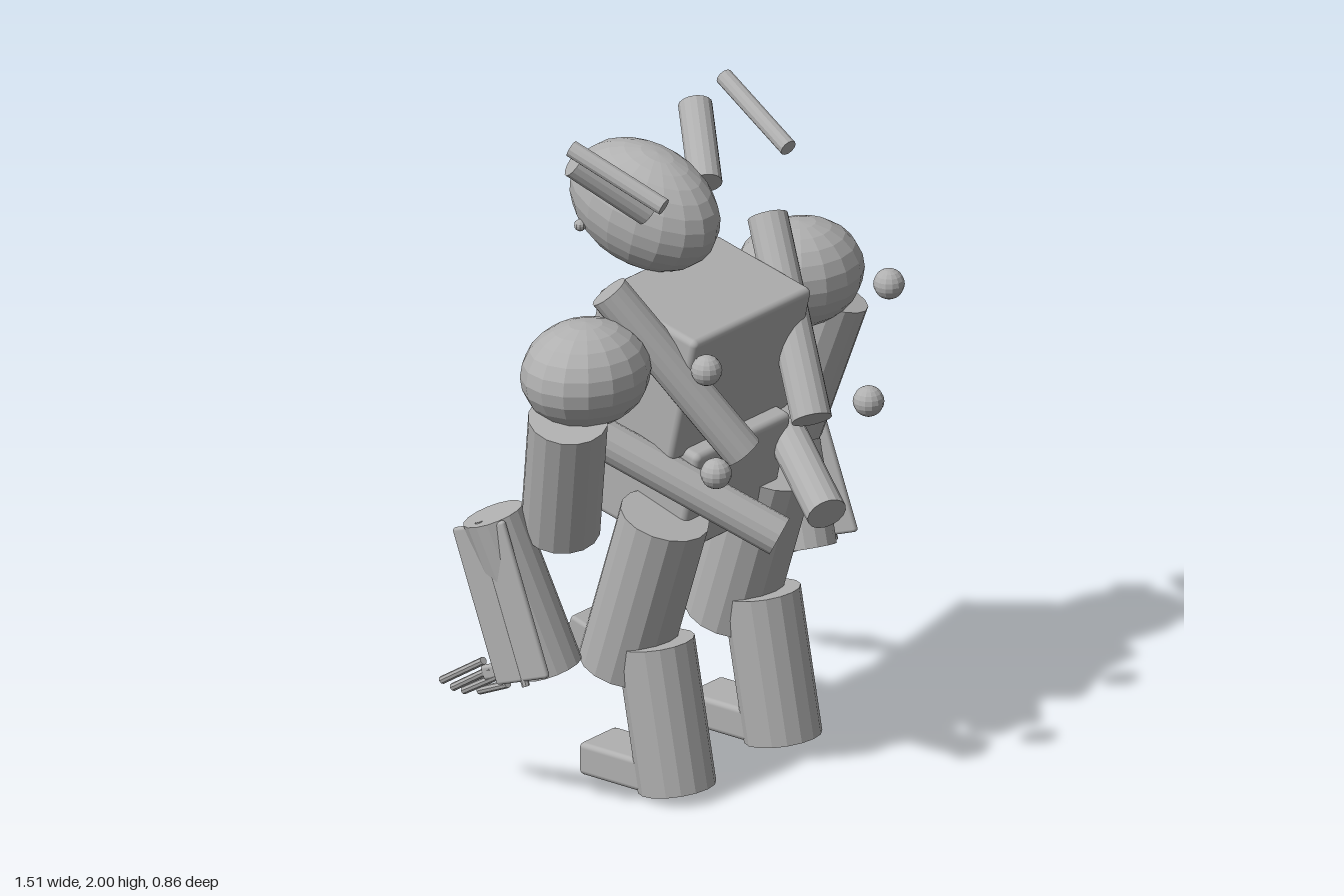
import * as THREE from 'three';
import { RoundedBoxGeometry } from 'three/addons/geometries/RoundedBoxGeometry.js';

export function createModel() {
  const model = new THREE.Group();
  const grey = new THREE.MeshStandardMaterial({ color: 0xb0b0b0 });
  const V = (a) => new THREE.Vector3(...a);

  // Facetted look: every face gets its own normal
  const faceted = (geometry) => {
    const g = geometry.toNonIndexed();
    g.computeVertexNormals();
    return g;
  };

  function add(name, geometry, parent = model) {
    const mesh = new THREE.Mesh(geometry, grey);
    mesh.name = name;
    parent.add(mesh);
    return mesh;
  }

  // Cylinder running between two points
  function rod(name, from, to, radius, sides = 16) {
    const a = V(from), b = V(to), dir = b.clone().sub(a);
    const mesh = add(name, faceted(new THREE.CylinderGeometry(radius, radius, dir.length(), sides)));
    mesh.position.copy(a).add(b).multiplyScalar(0.5);
    mesh.quaternion.setFromUnitVectors(new THREE.Vector3(0, 1, 0), dir.normalize());
    return mesh;
  }

  function ball(name, at, radii, w = 16, h = 12, parent = model) {
    const g = new THREE.SphereGeometry(1, w, h);
    g.scale(...radii);
    const mesh = add(name, faceted(g), parent);
    mesh.position.set(...at);
    return mesh;
  }

  function box(name, at, size, tilt = 0, radius = 0.02, parent = model) {
    const mesh = add(name, new RoundedBoxGeometry(...size, 2, radius), parent);
    mesh.position.set(...at);
    mesh.rotation.x = tilt;
    return mesh;
  }

  // Head, looking towards -z with its face raised
  ball('head', [0, 1.685, -0.18], [0.168, 0.18, 0.25], 18, 14).rotation.x = 0.26;
  ball('brow', [0, 1.785, -0.375], [0.05, 0.012, 0.022], 12, 8).rotation.x = -0.6;

  // Leaning torso with a round core on the chest
  box('chest', [0, 1.28, 0], [0.55, 0.41, 0.37], 0.227);
  box('abdomen', [0, 0.93, -0.01], [0.44, 0.34, 0.34], 0.227);
  ball('chestCore', [0, 1.285, -0.17], [0.095, 0.095, 0.095]);

  for (const s of [1, -1]) {
    const P = (x, y, z) => [s * x, y, z];

    // Head details
    ball('eye', P(0.126, 1.625, -0.32), [0.018, 0.018, 0.018], 10, 8);
    rod('horn', P(0.13, 1.74, -0.06), P(0.28, 1.9, -0.217), 0.05);
    rod('hornTip', P(0.29, 1.845, 0.12), P(0.355, 1.975, -0.17), 0.026, 12);

    // Slanted chest slat
    const slat = box('chestSlat', P(0.195, 1.295, -0.215), [0.05, 0.19, 0.07], 0.227, 0.008);
    slat.rotation.z = -s * 0.42;

    // Main arm
    ball('shoulder', P(0.497, 1.362, -0.005), [0.207, 0.158, 0.18]);
    rod('upperArm', P(0.61, 1.26, 0.02), P(0.52, 0.865, -0.08), 0.117);
    rod('forearm', P(0.665, 0.92, -0.215), P(0.59, 0.455, -0.055), 0.092);
    box('forearmPlate', P(0.718, 0.678, -0.142), [0.022, 0.48, 0.2], -0.355, 0.01);
    rod('plateRib', P(0.718, 0.91, -0.225), P(0.718, 0.44, -0.05), 0.012, 8);

    // Hand with four fingers
    box('palm', P(0.668, 0.44, -0.185), [0.025, 0.045, 0.13], -0.35, 0.01);
    const fingers = [
      [0.455, -0.245, 0.348, -0.41], [0.437, -0.215, 0.336, -0.37],
      [0.424, -0.187, 0.336, -0.33], [0.405, -0.155, 0.35, -0.272],
    ];
    for (const [y0, z0, y1, z1] of fingers) {
      rod('finger', P(0.67, y0, z0), P(0.655, y1, z1), 0.012, 8);
    }

    // Extra arms on the back, each with a separate round hand
    rod('upperBackArm', P(0.37, 1.57, -0.02), P(0.16, 1.085, 0.31), 0.06);
    ball('upperBackHand', P(0.425, 1.445, 0.385), [0.046, 0.046, 0.046], 14, 10);
    rod('lowerBackArm', P(0.37, 1.12, -0.1), P(0.11, 0.83, 0.405), 0.06);
    ball('lowerBackHand', P(0.355, 1.095, 0.365), [0.046, 0.046, 0.046], 14, 10);

    // Leg
    rod('thigh', P(0.247, 0.86, 0.09), P(0.247, 0.36, -0.065), 0.133);
    rod('shin', P(0.247, 0.46, 0.055), P(0.247, 0.022, 0.135), 0.115);
    box('knee', P(0.247, 0.415, -0.16), [0.13, 0.12, 0.14], 0.3, 0.012);
    rod('kneePeg', P(0.247, 0.425, -0.2), P(0.247, 0.395, -0.3), 0.028, 12);
    box('foot', P(0.247, 0.062, -0.04), [0.17, 0.1, 0.25], 0, 0.016);
  }
  return model;
}
